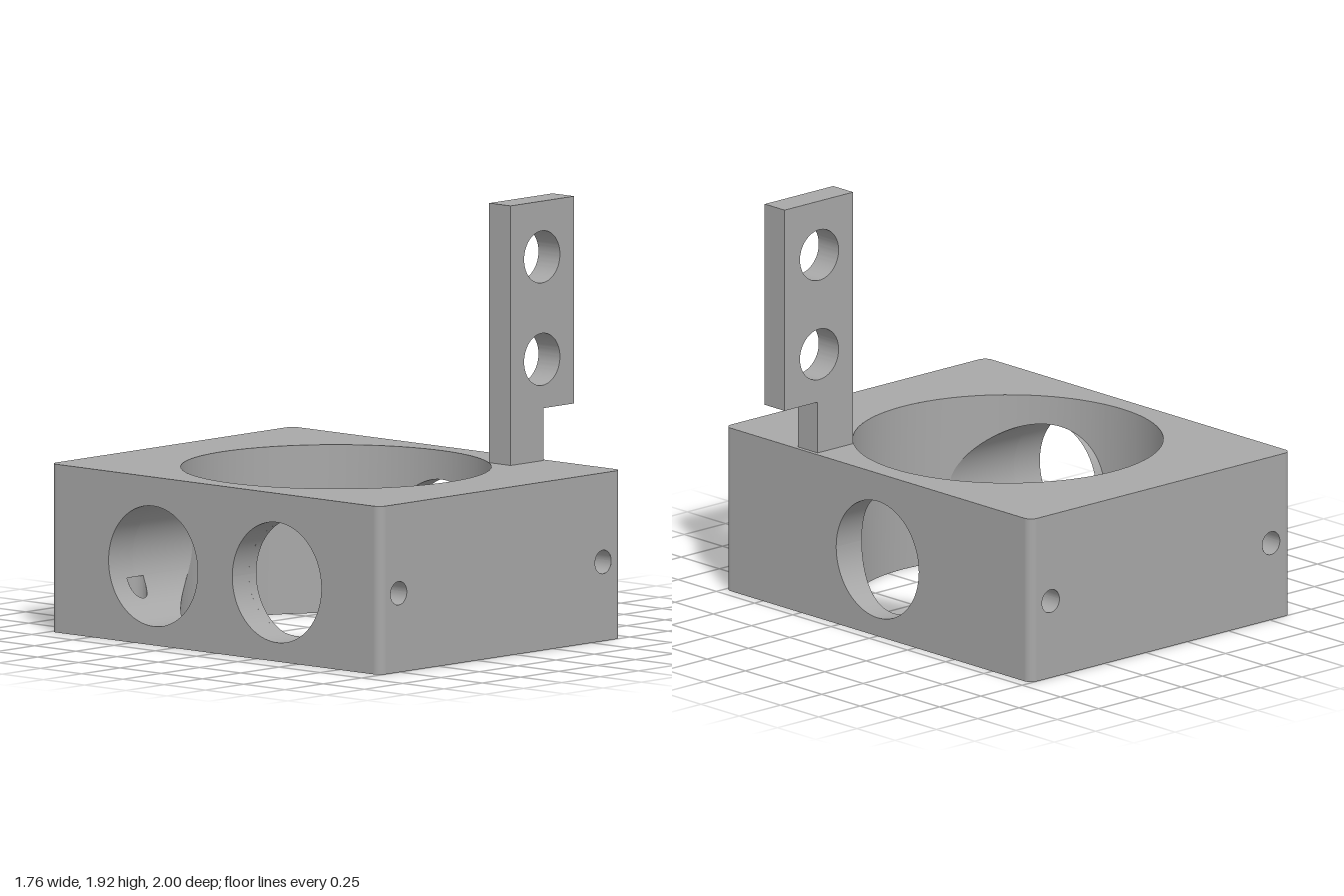
import * as THREE from 'three';
import { toCreasedNormals } from 'three/addons/utils/BufferGeometryUtils.js';

// Block dimensions, measured from the main bore axis
const W = 0.79, L = 1, H = 0.755, CORNER = 0.04;
const BORE = 0.69, PORT = 0.27, PORT_Z = 0.375, MID = 0.355;
const SCREW = 0.053, SCREW_X = 0.633, SCREW_Z = 0.63, SCREW_TOP = 0.266;
const PIN_X = 0.667, PIN_DEPTH = 0.25;

const grey = new THREE.MeshStandardMaterial({ color: 0xa8a8a8, side: THREE.DoubleSide });
grey.name = 'grey';

function add(parent, name, geometry) {
  const mesh = new THREE.Mesh(geometry, grey);
  mesh.name = name;
  parent.add(mesh);
  return mesh;
}

const range = (n, from, to) => Array.from({ length: n + 1 }, (_, i) => from + (to - from) * i / n);
const circle = range(48, 0, 2 * Math.PI);
const chord = (r, d) => Math.sqrt(Math.max(0, r * r - d * d));

// Ruled surface between the curves a(t) and b(t)
function ruled(ts, a, b) {
  const pos = [], idx = [];
  ts.forEach((t, i) => {
    pos.push(...a(t), ...b(t));
    if (i) {
      const k = 2 * i;
      idx.push(k - 2, k, k + 1, k - 2, k + 1, k - 1);
    }
  });
  const g = new THREE.BufferGeometry();
  g.setAttribute('position', new THREE.Float32BufferAttribute(pos, 3));
  g.setIndex(idx);
  g.computeVertexNormals();
  return g;
}

function punch(shape, holes) {
  for (const [x, y, r] of holes) {
    const p = new THREE.Path();
    p.absarc(x, y, r, 0, 2 * Math.PI, true);
    shape.holes.push(p);
  }
  return shape;
}

function rect(x0, y0, x1, y1) {
  return new THREE.Shape([[x0, y0], [x1, y0], [x1, y1], [x0, y1]].map(p => new THREE.Vector2(...p)));
}

function roundedRect() {
  const s = new THREE.Shape(), x = W - CORNER, y = L - CORNER;
  s.absarc(x, y, CORNER, 0, Math.PI / 2);
  s.absarc(-x, y, CORNER, Math.PI / 2, Math.PI);
  s.absarc(-x, -y, CORNER, Math.PI, 1.5 * Math.PI);
  s.absarc(x, -y, CORNER, 1.5 * Math.PI, 2 * Math.PI);
  return s;
}

const flat = shape => new THREE.ShapeGeometry(shape, 48);

function buildBlock() {
  const block = new THREE.Group();
  block.name = 'block';
  const pairs = [[1, 1], [1, -1], [-1, -1], [-1, 1]];

  // Top and bottom faces
  add(block, 'topFace', flat(punch(roundedRect(), [[0, 0, BORE]])).rotateX(-Math.PI / 2).translate(0, H, 0));
  const screws = pairs.map(([sx, sz]) => [sx * SCREW_X, sz * SCREW_Z, SCREW]);
  add(block, 'bottomFace', flat(punch(roundedRect(), [[0, 0, BORE], ...screws])).rotateX(Math.PI / 2));

  // Side faces with the round ports
  const side = holes => flat(punch(rect(CORNER - L, 0, L - CORNER, H), holes));
  add(block, 'rightFace', side([[0, MID, PORT]]).rotateY(Math.PI / 2).translate(W, 0, 0));
  add(block, 'leftFace', side([[-PORT_Z, MID, PORT], [PORT_Z, MID, PORT]]).rotateY(-Math.PI / 2).translate(-W, 0, 0));

  // Front and back faces, each with two blind pin holes
  for (const name of ['frontEnd', 'backEnd']) {
    const end = new THREE.Group();
    end.name = name;
    if (name === 'backEnd') end.rotation.y = Math.PI;
    const holes = [-PIN_X, PIN_X].map(x => [x, MID, SCREW]);
    add(end, 'endFace', flat(punch(rect(CORNER - W, 0, W - CORNER, H), holes)).translate(0, 0, L));
    for (const [x] of holes) {
      const at = z => t => [x + SCREW * Math.cos(t), MID + SCREW * Math.sin(t), z];
      add(end, 'pinHoleWall', ruled(circle, at(L), at(L - PIN_DEPTH)));
      add(end, 'pinHoleEnd', new THREE.CircleGeometry(SCREW, 48).translate(x, MID, L - PIN_DEPTH));
    }
    block.add(end);
  }

  // Rounded vertical edges
  pairs.forEach(([sx, sz], i) => {
    const g = new THREE.CylinderGeometry(CORNER, CORNER, H, 8, 1, true, i * Math.PI / 2, Math.PI / 2);
    add(block, 'roundedEdge', g.translate(sx * (W - CORNER), H / 2, sz * (L - CORNER)));
  });

  // Main bore wall, split above and below the ports
  const ports = [[1, 0], [-1, PORT_Z], [-1, -PORT_Z]];
  const angles = range(128, 0, 2 * Math.PI);
  for (const [s, c] of ports) {
    for (const t of range(40, 0, Math.PI)) {
      const a = Math.asin((c + PORT * Math.cos(t)) / BORE);
      angles.push(s > 0 ? (a + 2 * Math.PI) % (2 * Math.PI) : Math.PI - a);
    }
  }
  angles.sort((p, q) => p - q);
  const borePoint = yOf => t => {
    const x = BORE * Math.cos(t), z = BORE * Math.sin(t);
    const gap = Math.max(...ports.map(([s, c]) => (s * x > 0 ? chord(PORT, z - c) : 0)));
    return [x, yOf(gap), z];
  };
  add(block, 'boreWallLower', ruled(angles, borePoint(() => 0), borePoint(g => MID - g)));
  add(block, 'boreWallUpper', ruled(angles, borePoint(g => MID + g), borePoint(() => H)));

  // Port walls, running from the side faces to the main bore
  const portPoint = (c, xOf) => t => {
    const z = c + PORT * Math.cos(t);
    return [xOf(z, t), MID + PORT * Math.sin(t), z];
  };
  const inner = z => chord(BORE, z);
  add(block, 'rightPortWall', ruled(range(96, 0, 2 * Math.PI), portPoint(0, inner), portPoint(0, () => W)));
  const brk = Math.acos((SCREW_Z - PORT_Z) / PORT);
  const start = Math.acos((SCREW_Z - SCREW - PORT_Z) / PORT);
  for (const s of [1, -1]) {
    // Extra samples where a screw hole breaks through the lower wall
    const ts = [...range(96, -Math.PI, Math.PI), ...range(24, -start, -brk - 1e-4), -brk + 1e-4]
      .map(t => (s > 0 ? t : Math.PI - t)).sort((p, q) => p - q);
    const cut = (z, t) => (Math.sin(t) < 0 && Math.abs(z) < SCREW_Z ? chord(SCREW, Math.abs(z) - SCREW_Z) : 0);
    const c = s * PORT_Z;
    add(block, 'leftPortWallOuter',
      ruled(ts, portPoint(c, () => -W), portPoint(c, (z, t) => -SCREW_X - cut(z, t))));
    add(block, 'leftPortWallInner',
      ruled(ts, portPoint(c, (z, t) => -SCREW_X + cut(z, t)), portPoint(c, z => -inner(z))));
  }

  // Blind screw holes in the bottom; the left pair opens into the ports
  for (const [sx, sz] of pairs) {
    const at = yOf => t => {
      const z = sz * SCREW_Z + SCREW * Math.sin(t);
      return [sx * SCREW_X + SCREW * Math.cos(t), yOf(z), z];
    };
    const top = z => (sx > 0 ? SCREW_TOP : Math.min(SCREW_TOP, MID - chord(PORT, Math.abs(z) - PORT_Z)));
    add(block, 'screwHoleWall', ruled(circle, at(() => 0), at(top)));
    const from = sx < 0 && sz < 0 ? Math.PI : 0;
    const cap = new THREE.CircleGeometry(SCREW, 32, from, sx > 0 ? 2 * Math.PI : Math.PI);
    add(block, 'screwHoleEnd', cap.rotateX(Math.PI / 2).translate(sx * SCREW_X, SCREW_TOP, sz * SCREW_Z));
  }
  return block;
}

export function createModel() {
  const model = new THREE.Group();
  model.name = 'bracketBlock';

  const block = buildBlock();
  block.position.x = -0.09;
  model.add(block);

  // Upright mounting tab with a narrow neck and two holes
  const outline = [[0.465, H], [0.68, H], [0.68, 0.99], [0.88, 0.99], [0.88, 1.92], [0.465, 1.92]];
  const tab = punch(new THREE.Shape(outline.map(p => new THREE.Vector2(...p))),
    [[0.67, 1.67, 0.117], [0.67, 1.21, 0.117]]);
  const g = new THREE.ExtrudeGeometry(tab, { depth: 0.13, bevelEnabled: false, curveSegments: 48 });
  add(model, 'mountingTab', toCreasedNormals(g, 0.5)).position.z = 0.413;

  return model;
}
